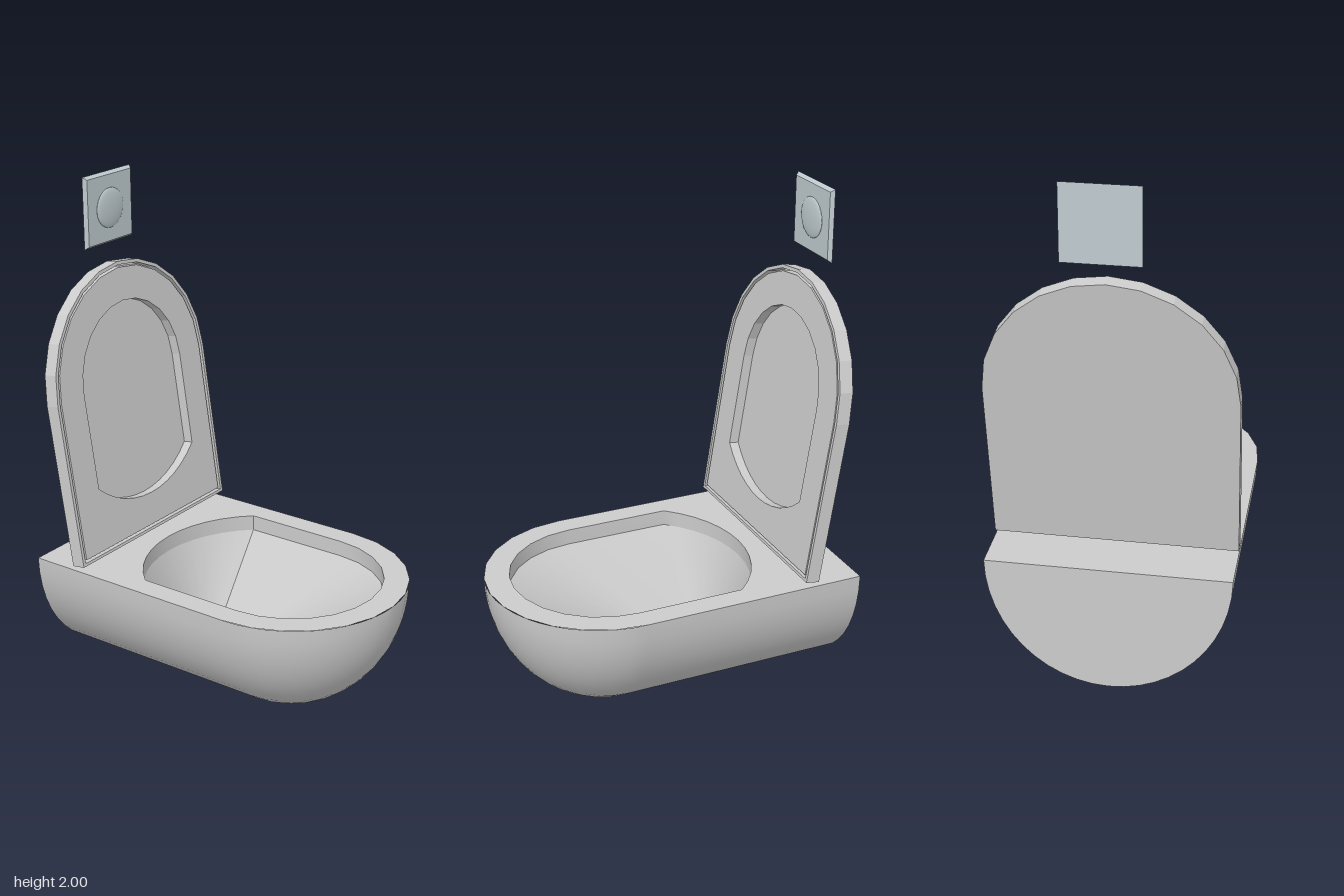
import * as THREE from 'three';

const grey = new THREE.MeshStandardMaterial({ color: 0xcccccc });
const waterBlue = new THREE.MeshStandardMaterial({ color: 0xb4ccd6 });
const plateGrey = new THREE.MeshStandardMaterial({ color: 0xc0ccd0 });

const RIM = 0.515, HALF = 0.463, BACK = 0.688;

function add(parent, name, geometry, material = grey) {
  const mesh = new THREE.Mesh(geometry, material);
  mesh.name = name;
  parent.add(mesh);
  return mesh;
}

// Counter-clockwise outline: straight sides from v = low to v = high,
// closed at each end by a circular arc of the given rise (0 = straight edge).
function arch(w, low, lowRise, high, highRise) {
  const pts = [];
  const arc = (v, rise, dir) => {
    if (!rise) {
      pts.push(new THREE.Vector2(dir * w, v), new THREE.Vector2(-dir * w, v));
      return;
    }
    const r = (w * w + rise * rise) / (2 * rise);
    const half = Math.atan2(w, r - rise);
    for (let i = 0; i <= 12; i++) {
      const a = half - (i / 12) * 2 * half;
      pts.push(new THREE.Vector2(dir * r * Math.sin(a), v + dir * (r * Math.cos(a) - r + rise)));
    }
  };
  arc(high, highRise, 1);
  arc(low, lowRise, -1);
  return pts;
}

function shapeOf(outline, hole) {
  const shape = new THREE.Shape(outline);
  if (hole) shape.holes.push(new THREE.Path(hole));
  return shape;
}

// Slab between two depths, with an optional hole
function slab(z0, z1, outline, hole) {
  const g = new THREE.ExtrudeGeometry(shapeOf(outline, hole), { depth: z1 - z0, bevelEnabled: false });
  return g.translate(0, 0, z0);
}

// Smooth skin over rings with equal numbers of points
function loft(rings, inward = false) {
  const n = rings[0].length, index = [];
  for (let r = 0; r < rings.length - 1; r++) {
    for (let i = 0; i < n - 1; i++) {
      const a = r * n + i, b = a + 1, c = a + n, d = c + 1;
      if (inward) index.push(a, b, c, b, d, c);
      else index.push(a, c, b, b, c, d);
    }
  }
  const g = new THREE.BufferGeometry().setFromPoints(rings.flat());
  g.setIndex(index);
  g.computeVertexNormals();
  return g;
}

const ringAt = (outline, h) => [...outline, outline[0]].map(p => new THREE.Vector3(p.x, p.y, h));

function makeBowl() {
  const group = new THREE.Group();
  group.name = 'bowl';
  group.rotation.x = -Math.PI / 2; // local y points to the back, local z points up

  // Half-round hull, straight behind and rounded off at the front
  const section = (v, s) => Array.from({ length: 25 }, (_, i) => {
    const t = (i / 24) * Math.PI;
    return new THREE.Vector3(HALF * s * Math.cos(t), v, RIM - RIM * s * Math.sin(t));
  });
  const sections = [section(BACK, 1)];
  for (let i = 0; i <= 12; i++) {
    const a = (i / 12) * Math.PI / 2;
    sections.push(section(-0.225 - HALF * Math.sin(a), Math.max(Math.cos(a), 0.0001)));
  }
  add(group, 'hull', loft(sections));

  // Flat rim, upright lip and funnel down to the water
  const opening = arch(0.368, -0.22, 0.368, 0.215, 0.17);
  const pool = arch(0.128, 0.07, 0.105, 0.21, 0.07);
  const outer = arch(HALF, -0.225, HALF, BACK, 0);
  add(group, 'rim', new THREE.ShapeGeometry(shapeOf(outer, opening)).translate(0, 0, RIM));
  add(group, 'lip', loft([ringAt(opening, RIM), ringAt(opening, 0.45)], true));
  add(group, 'basin', loft([ringAt(opening, 0.45), ringAt(pool, 0.13)], true));
  add(group, 'water', new THREE.ShapeGeometry(shapeOf(pool)).translate(0, 0, 0.13), waterBlue);
  return group;
}

function makeBackWall() {
  const pts = Array.from({ length: 25 }, (_, i) => {
    const t = Math.PI + (i / 24) * Math.PI;
    return new THREE.Vector2(HALF * Math.cos(t), RIM + RIM * Math.sin(t));
  });
  const g = new THREE.ShapeGeometry(shapeOf(pts));
  return g.rotateY(Math.PI).translate(0, 0, -BACK);
}

// Raised lid: a shallow tray holding the seat ring
function makeLid() {
  const group = new THREE.Group();
  group.name = 'raisedLid';
  group.position.set(0, 0.54, -0.446);
  group.rotation.x = -0.15;
  const outer = arch(HALF, 0, 0, 0.66, HALF);
  const inner = arch(0.449, 0.012, 0, 0.66, 0.449);
  const seat = arch(0.438, 0.022, 0, 0.66, 0.438);
  const hole = arch(0.305, 0.273, 0.12, 0.66, 0.305);
  add(group, 'lidPanel', slab(-0.056, -0.044, outer));
  add(group, 'lidEdge', slab(-0.044, 0, outer, inner));
  add(group, 'seat', slab(-0.044, -0.003, seat, hole));
  return group;
}

// Wall plate with sloping edges and a domed push button
function makeFlushPlate() {
  const group = new THREE.Group();
  group.name = 'flushPlate';
  group.position.set(0.015, 1.857, -0.672);
  const k = Math.SQRT2;
  const plate = new THREE.CylinderGeometry(0.132 * k, 0.143 * k, 0.015, 4, 1, false, Math.PI / 4).toNonIndexed();
  plate.computeVertexNormals();
  plate.rotateX(Math.PI / 2).translate(0, 0, 0.0075);
  add(group, 'plate', plate, plateGrey);
  const dome = new THREE.SphereGeometry(0.08, 24, 8, 0, Math.PI * 2, 0, Math.PI / 2);
  dome.scale(1, 0.15, 1).rotateX(Math.PI / 2).translate(0, 0, 0.015);
  add(group, 'button', dome, plateGrey);
  return group;
}

export function createModel() {
  const model = new THREE.Group();
  model.name = 'wallHungToilet';
  model.add(makeBowl(), makeLid(), makeFlushPlate());
  add(model, 'backWall', makeBackWall());
  return model;
}
